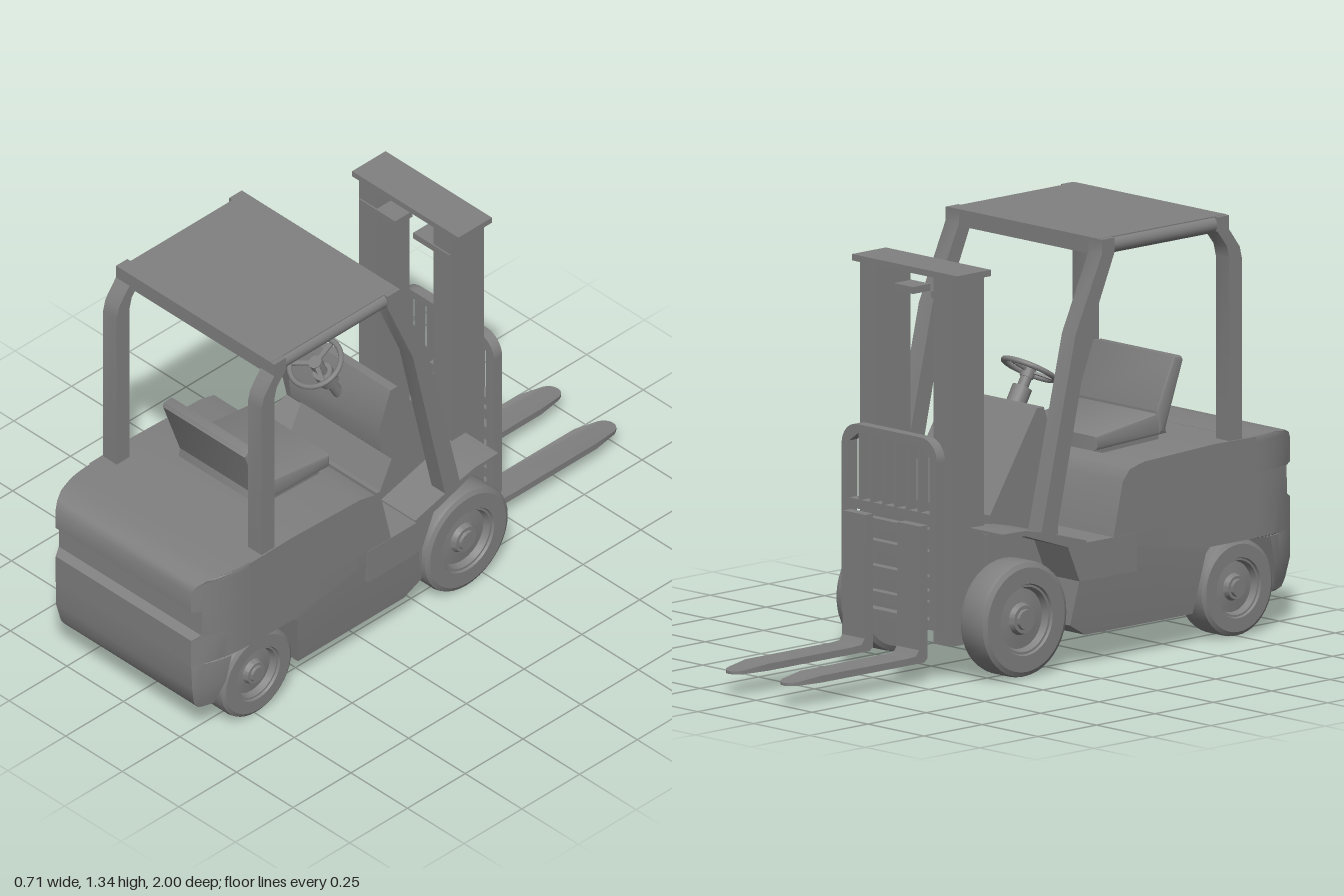
import * as THREE from 'three';
import { toCreasedNormals } from 'three/addons/utils/BufferGeometryUtils.js';

const mat = new THREE.MeshStandardMaterial({ color: 0x808080, side: THREE.DoubleSide });

export function createModel() {
  const root = new THREE.Group();

  const add = (name, geo, parent = root) => {
    const m = new THREE.Mesh(geo, mat);
    m.name = name;
    parent.add(m);
    return m;
  };
  // Box given by its min and max on each axis
  const box = (name, x0, x1, y0, y1, z0, z1) => {
    const g = new THREE.BoxGeometry(x1 - x0, y1 - y0, z1 - z0);
    g.translate((x0 + x1) / 2, (y0 + y1) / 2, (z0 + z1) / 2);
    return add(name, g);
  };
  // Mirrored pair of boxes
  const boxes = (name, x0, x1, ...r) => {
    box(name + 'Left', x0, x1, ...r);
    box(name + 'Right', -x1, -x0, ...r);
  };
  // Side profile of [z, y] points, extruded across x
  const prism = (name, pts, x0, x1, bevel = 0) => {
    const shape = new THREE.Shape(pts.map(([z, y]) => new THREE.Vector2(z, y)));
    const g = new THREE.ExtrudeGeometry(shape, {
      depth: x1 - x0 - 2 * bevel, bevelEnabled: bevel > 0,
      bevelThickness: bevel, bevelSize: bevel, bevelOffset: -bevel, bevelSegments: 2,
    });
    g.rotateY(-Math.PI / 2);
    g.translate(x1 - bevel, 0, 0);
    return add(name, toCreasedNormals(g, 0.5));
  };
  const prisms = (name, pts, x0, x1, bevel) => {
    prism(name + 'Left', pts, x0, x1, bevel);
    prism(name + 'Right', pts, -x1, -x0, bevel);
  };

  // Body
  prism('engineHood', [[0.8, 0.31], [0.8, 0.63], [0.62, 0.632], [0.32, 0.62], [0.26, 0.605],
    [0.23, 0.57], [0.19, 0.4], [0.6, 0.4], [0.6, 0.31]], -0.355, 0.355);
  const lower = prism('lowerBody', [[0.61, 0.4], [0.61, 0.31], [0.59, 0.29], [0.56, 0.1], [0.1, 0.1],
    [0.03, 0.14], [0.05, 0.28], [0.08, 0.4]], -0.35, 0.35);
  // The flanks lean inwards towards the bottom
  const lp = lower.geometry.attributes.position;
  for (let i = 0; i < lp.count; i++) lp.setX(i, lp.getX(i) * (1 - Math.max(0, 0.29 - lp.getY(i)) * 0.42));
  lower.geometry = toCreasedNormals(lower.geometry, 0.5);
  box('frontAxleHousing', -0.2, 0.2, 0.12, 0.44, -0.2, 0.1);
  boxes('step', 0.33, 0.356, 0.28, 0.4, 0.08, 0.29);
  add('counterweight', counterweightGeometry());

  // Front fenders, dashboard and seat
  prisms('frontFender', [[0.08, 0.28], [0.08, 0.405], [-0.1, 0.455], [-0.18, 0.473], [-0.28, 0.475],
    [-0.28, 0.465], [-0.18, 0.455], [0, 0.395], [0.05, 0.28]], 0.19, 0.35);
  prism('dashboard', [[0.08, 0.4], [0.09, 0.43], [0.035, 0.54], [0.08, 0.59], [0.09, 0.68],
    [0.04, 0.81], [0.01, 0.81], [-0.19, 0.5], [-0.19, 0.4]], -0.2, 0.2);
  box('seatBase', -0.17, 0.17, 0.61, 0.66, 0.32, 0.56);
  prism('seatCushion', [[0.59, 0.645], [0.57, 0.715], [0.28, 0.678], [0.28, 0.632]], -0.18, 0.18, 0.01);
  prism('seatBack', [[0.655, 0.87], [0.647, 0.882], [0.615, 0.885], [0.545, 0.72], [0.55, 0.65],
    [0.575, 0.65]], -0.185, 0.185, 0.01);

  // Steering wheel and column
  const steering = new THREE.Group();
  steering.name = 'steering';
  steering.position.set(0, 0.88, 0.17);
  steering.rotation.x = -1.04;
  root.add(steering);
  add('steeringRim', new THREE.TorusGeometry(0.086, 0.009, 8, 32), steering);
  for (let i = 0; i < 3; i++) {
    const spoke = new THREE.BoxGeometry(0.014, 0.08, 0.008).translate(0, 0.042, -0.005);
    add('steeringSpoke', spoke.rotateZ(i * Math.PI * 2 / 3), steering);
  }
  const post = (name, r, len, z) =>
    add(name, new THREE.CylinderGeometry(r, r, len, 16).rotateX(Math.PI / 2).translate(0, 0, z), steering);
  post('steeringHub', 0.022, 0.03, -0.012);
  post('steeringColumn', 0.018, 0.2, -0.1);
  post('columnCollar', 0.032, 0.06, -0.09);

  // Overhead guard
  prisms('rearPillar', [[0.745, 0.62], [0.745, 1.2], [0.735, 1.24], [0.69, 1.3], [0.69, 1.345],
    [0.64, 1.345], [0.64, 1.3], [0.68, 1.25], [0.69, 1.21], [0.69, 0.62]], 0.29, 0.35);
  prisms('frontPillar', [[0.2, 1.345], [0.145, 1.345], [0.145, 1.3], [0.032, 1.06], [-0.115, 0.45],
    [-0.05, 0.44], [0.09, 1.05], [0.2, 1.3]], 0.29, 0.35);
  box('roofPanel', -0.335, 0.335, 1.33, 1.346, 0.146, 0.69);
  for (const s of [-1, 1]) {
    const rail = new THREE.CylinderGeometry(0.027, 0.027, 0.46, 20).rotateX(Math.PI / 2);
    add('roofSideRail', rail.translate(s * 0.322, 1.319, 0.42));
  }
  box('roofFrontRail', -0.3, 0.3, 1.293, 1.335, 0.146, 0.185);
  box('roofRearRail', -0.3, 0.3, 1.293, 1.335, 0.65, 0.69);

  // Mast
  boxes('mastRail', 0.125, 0.205, 0.11, 1.27, -0.36, -0.22);
  box('mastTopPlate', -0.235, 0.235, 1.266, 1.286, -0.365, -0.22);
  boxes('mastBracket', 0.04, 0.2, 1.178, 1.2, -0.29, -0.215);
  box('mastLowerTie', -0.15, 0.15, 0.13, 0.24, -0.26, -0.18);

  // Carriage and load backrest
  for (const y of [0.22, 0.3, 0.38, 0.45]) box('carriageBar', -0.2, 0.2, y, y + 0.035, -0.426, -0.398);
  add('loadBackrest', backrestGeometry());

  // Forks
  for (const s of [-1, 1]) {
    const x = s * 0.122;
    prism('forkShank', [[-0.43, 0.5], [-0.463, 0.5], [-0.467, 0.11], [-0.48, 0.092], [-0.52, 0.09],
      [-0.52, 0.068], [-0.445, 0.068], [-0.43, 0.08]], x - 0.05, x + 0.05);
    add('forkBlade', bladeGeometry().translate(x, 0.068, 0));
  }

  // Wheels
  for (const s of [-1, 1]) {
    for (const [name, r, y, z] of [['frontWheel', 0.183, 0.187, -0.164], ['rearWheel', 0.154, 0.157, 0.745]]) {
      const w = add(name, wheelGeometry(r));
      w.rotation.z = -s * Math.PI / 2;
      w.position.set(s * 0.278, y, z);
      const axle = add(name + 'Axle', new THREE.CylinderGeometry(0.05, 0.05, 0.26, 16));
      axle.rotation.z = Math.PI / 2;
      axle.position.set(s * 0.13, y, z);
    }
  }
  return root;
}

// Stacked rings [y, front z, rear z, half width], narrowing towards the rear
function counterweightGeometry() {
  const levels = [[0.115, 0.92, 0.94, 0.315], [0.125, 0.915, 0.965, 0.328], [0.15, 0.91, 0.983, 0.335],
    [0.215, 0.892, 0.997, 0.352], [0.305, 0.87, 1, 0.352], [0.31, 0.76, 1, 0.352], [0.405, 0.76, 1, 0.352],
    [0.42, 0.76, 0.972, 0.352], [0.51, 0.76, 0.967, 0.352], [0.516, 0.76, 1, 0.352],
    [0.59, 0.76, 1, 0.352], [0.612, 0.76, 0.985, 0.352], [0.625, 0.76, 0.955, 0.352],
    [0.631, 0.76, 0.9, 0.35]];
  const n = 9, pos = [], idx = [];
  for (const [y, z0, z1, w] of levels) {
    const side = [];
    for (let i = 0; i < n; i++) {
      const z = z0 + (z1 - z0) * i / (n - 1);
      side.push([w * (1 - 0.15 * (Math.max(0, z - 0.78) / 0.22) ** 2.5), z]);
    }
    side.forEach(([x, z]) => pos.push(x, y, z));
    side.reverse().forEach(([x, z]) => pos.push(-x, y, z));
  }
  const m = 2 * n, top = (levels.length - 1) * m;
  for (let l = 0; l < levels.length - 1; l++) {
    for (let j = 0; j < m; j++) {
      const a = l * m + j, b = l * m + (j + 1) % m;
      idx.push(a, a + m, b, b, a + m, b + m);
    }
  }
  for (let j = 1; j < m - 1; j++) idx.push(0, j, j + 1, top, top + j + 1, top + j);
  const g = new THREE.BufferGeometry();
  g.setAttribute('position', new THREE.Float32BufferAttribute(pos, 3));
  g.setIndex(idx);
  return toCreasedNormals(g, 0.6);
}

// Flat frame with rounded upper corners, upright bars and an open lower half
function backrestGeometry() {
  const w = 0.213, top = 0.772, r = 0.07;
  const s = new THREE.Shape();
  s.moveTo(-w, 0.17);
  s.lineTo(w, 0.17);
  s.lineTo(w, top - r);
  s.absarc(w - r, top - r, r, 0, Math.PI / 2, false);
  s.absarc(-w + r, top - r, r, Math.PI / 2, Math.PI, false);
  const hole = (x0, x1, y0, yl, yr) => s.holes.push(new THREE.Path([[x0, y0], [x0, yl], [x1, yr], [x1, y0]]
    .map(([x, y]) => new THREE.Vector2(x, y))));
  const gaps = 7, pitch = 0.37 / gaps;
  for (let i = 0; i < gaps; i++) {
    const x = -0.185 + i * pitch;
    hole(x + 0.006, x + pitch - 0.006, 0.535, i === 0 ? 0.715 : 0.745, i === gaps - 1 ? 0.715 : 0.745);
  }
  hole(-0.18, 0.18, 0.2, 0.505, 0.505);
  return new THREE.ExtrudeGeometry(s, { depth: 0.035, bevelEnabled: false, curveSegments: 8 }).translate(0, 0, -0.43);
}

// Fork blade with a rounded, thinned tip
function bladeGeometry() {
  const s = new THREE.Shape();
  s.moveTo(-0.05, 0.5);
  s.lineTo(0.05, 0.5);
  s.lineTo(0.05, 0.88);
  s.lineTo(0.036, 0.97);
  s.quadraticCurveTo(0.025, 1, 0, 1);
  s.quadraticCurveTo(-0.025, 1, -0.036, 0.97);
  s.lineTo(-0.05, 0.88);
  const g = new THREE.ExtrudeGeometry(s, { depth: 0.022, bevelEnabled: false });
  g.rotateX(-Math.PI / 2);
  const p = g.attributes.position;
  for (let i = 0; i < p.count; i++) {
    const t = Math.max(0, (-p.getZ(i) - 0.88) / 0.12);
    p.setY(i, p.getY(i) * (1 - 0.6 * t));
  }
  return toCreasedNormals(g, 0.5);
}

// Tyre, dished rim and hub in one turned profile, outer side up
function wheelGeometry(r) {
  const h = 0.057;
  const pts = [[0, -h], [r * 0.6, -h], [r * 0.9, -h], [r * 0.98, -h + 0.008], [r, -h + 0.02],
    [r, h - 0.02], [r * 0.98, h - 0.008], [r * 0.9, h], [r * 0.62, h], [r * 0.6, h - 0.008],
    [r * 0.56, h - 0.008], [r * 0.52, h - 0.03], [r * 0.28, h - 0.025], [r * 0.24, h - 0.008],
    [r * 0.18, h - 0.008], [r * 0.17, h + 0.002], [0, h + 0.002]];
  const g = new THREE.LatheGeometry(pts.map(([x, y]) => new THREE.Vector2(x, y)), 40);
  return toCreasedNormals(g, 0.5);
}
